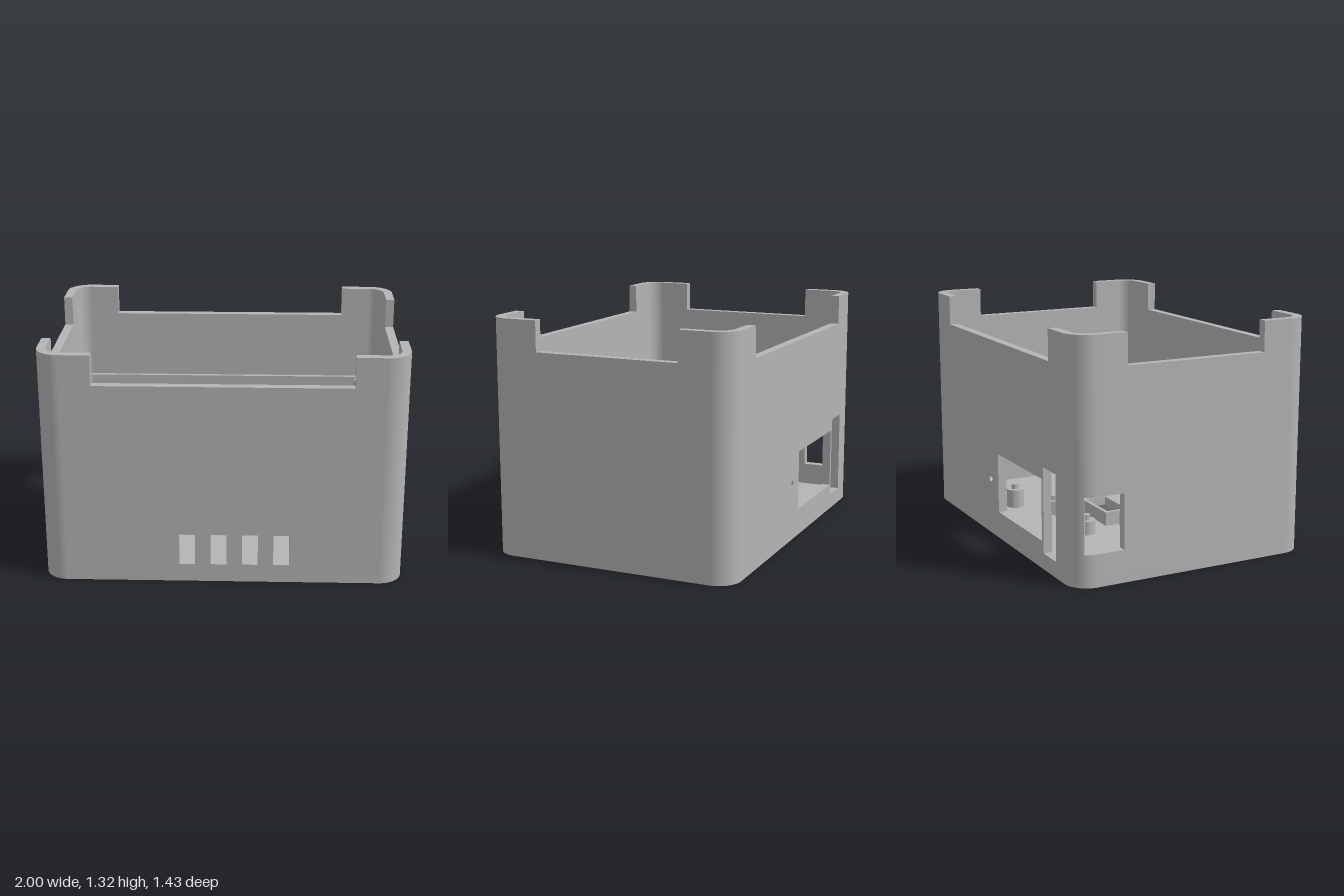
import * as THREE from 'three';
import { toCreasedNormals } from 'three/addons/utils/BufferGeometryUtils.js';

const HX = 1, HZ = 0.715, R = 0.13, WALL = 0.05, FLOOR = 0.05, LOW = 1.15, TOP = 1.32;
const CX = HX - R, CZ = HZ - R; // corner centres

const grey = new THREE.MeshStandardMaterial({ color: 0xb4b4b4 });
grey.name = 'grey plastic';

const poly = (pts) => new THREE.Shape(pts.map(([x, y]) => new THREE.Vector2(x, y)));
const rect = (x0, x1, y0, y1) => poly([[x0, y0], [x1, y0], [x1, y1], [x0, y1]]);

function circle(x, y, r) {
  const s = new THREE.Shape();
  s.absarc(x, y, r, 0, Math.PI * 2, false);
  return s;
}

function roundedRect(hx, hy, r) {
  const s = new THREE.Shape();
  s.absarc(hx - r, hy - r, r, 0, Math.PI / 2, false);
  s.absarc(r - hx, hy - r, r, Math.PI / 2, Math.PI, false);
  s.absarc(r - hx, r - hy, r, Math.PI, Math.PI * 1.5, false);
  s.absarc(hx - r, r - hy, r, Math.PI * 1.5, Math.PI * 2, false);
  s.closePath();
  return s;
}

function withHoles(shape, holes) {
  shape.holes.push(...holes);
  return shape;
}

function extrude(shape, depth) {
  return new THREE.ExtrudeGeometry(shape, { depth, bevelEnabled: false, curveSegments: 16 });
}

// Plan shape (x, -z) raised from y0 to y1
function raise(shape, y0, y1) {
  return extrude(shape, y1 - y0).rotateX(-Math.PI / 2).translate(0, y0, 0);
}

// Side shape (-z, y) extruded along +x from x0
function sideways(shape, x0, width) {
  return extrude(shape, width).rotateY(Math.PI / 2).translate(x0, 0, 0);
}

// Quarter ring about a corner centre
function arcBand(x, y, a0, a1) {
  const s = new THREE.Shape();
  s.absarc(x, y, R, a0, a1, false);
  s.absarc(x, y, R - WALL, a1, a0, true);
  s.closePath();
  return s;
}

// Rectangular sections (half x, half z, y) joined in order
function rectLoft(rows) {
  const pos = [];
  const corner = ([hx, hz, y], i) => [[hx, y, hz], [hx, y, -hz], [-hx, y, -hz], [-hx, y, hz]][i % 4];
  for (let k = 0; k < rows.length - 1; k++) {
    for (let i = 0; i < 4; i++) {
      const a = corner(rows[k], i), b = corner(rows[k], i + 1);
      const c = corner(rows[k + 1], i + 1), d = corner(rows[k + 1], i);
      pos.push(...a, ...c, ...b, ...a, ...d, ...c);
    }
  }
  const g = new THREE.BufferGeometry();
  g.setAttribute('position', new THREE.Float32BufferAttribute(pos, 3));
  g.computeVertexNormals();
  return g;
}

export function createModel() {
  const model = new THREE.Group();
  model.name = 'openEnclosure';
  const add = (name, geometry) => {
    const mesh = new THREE.Mesh(toCreasedNormals(geometry, 0.5), grey);
    mesh.name = name;
    model.add(mesh);
    return mesh;
  };

  // Floor with a flared opening and raised frame
  const ox = -0.075, oz = -0.053;
  add('floor', raise(withHoles(roundedRect(HX, HZ, R),
    [rect(ox - 0.19, ox + 0.19, -oz - 0.12, -oz + 0.12)]), 0, FLOOR));
  add('floorOpeningFrame', rectLoft([
    [0.19, 0.12, 0], [0.135, 0.0625, 0.08], [0.135, 0.0625, 0.13],
    [0.16, 0.085, 0.13], [0.16, 0.085, FLOOR], [0.19, 0.12, FLOOR],
  ]).translate(ox, 0, oz));

  // Straight walls with a lowered middle
  const wallOutline = (half, notch) => [
    [-half, FLOOR], [half, FLOOR], [half, TOP], [notch, TOP],
    [notch, LOW], [-notch, LOW], [-notch, TOP], [-half, TOP],
  ];
  const slots = [-0.198, -0.024, 0.15, 0.324].map((x) => rect(x - 0.044, x + 0.044, 0.105, 0.285));
  add('frontWall', extrude(withHoles(poly(wallOutline(CX, 0.7)), slots), WALL)
    .translate(0, 0, HZ - WALL));
  const backHoles = [rect(-0.6, -0.01, 0.155, 0.5), rect(-0.775, -0.62, 0.09, 0.568), circle(0.1, 0.332, 0.02)];
  add('backWall', extrude(withHoles(poly(wallOutline(CX, 0.7)), backHoles), WALL)
    .translate(0, 0, -HZ));
  add('leftWall', sideways(poly(wallOutline(CZ, 0.413)), HX - WALL, WALL));
  const windowLow = 0.18, windowHigh = 0.485;
  const rightOutline = wallOutline(CZ, 0.413);
  rightOutline.splice(2, 0, [CZ, windowLow], [0.43, windowLow], [0.43, windowHigh], [CZ, windowHigh]);
  add('rightWall', sideways(poly(rightOutline), -HX, WALL));

  // Rounded corners; the right window cuts into the back right one
  const q = Math.PI / 2;
  [[1, 1, 0], [-1, -1, 2], [1, -1, 3]].forEach(([sx, sy, k]) => {
    add('cornerWall', raise(arcBand(sx * CX, sy * CZ, k * q, (k + 1) * q), FLOOR, TOP));
  });
  add('cornerWall', raise(arcBand(-CX, CZ, q, 2 * q), FLOOR, windowLow));
  add('cornerWall', raise(arcBand(-CX, CZ, q, q + 1.01), windowLow, windowHigh));
  add('cornerWall', raise(arcBand(-CX, CZ, q, 2 * q), windowHigh, TOP));

  // Inner ledge and the two corner screw posts
  add('innerLedge', raise(withHoles(roundedRect(HX - WALL, HZ - WALL, R - WALL),
    [roundedRect(HX - 0.075, HZ - 0.075, R - 0.075)]), 0.72, 0.75));
  for (const s of [-1, 1]) {
    add('cornerScrewPost', raise(withHoles(circle(s * CX, s * CZ, 0.083),
      [circle(s * CX, s * CZ, 0.03)]), FLOOR, 0.75));
  }

  // Circuit board standoffs with locating pins
  const standoffs = [
    [-0.295, -0.295, 0.13], [0.145, -0.295, 0.13], [-0.295, -0.02, 0.13], [0.145, -0.02, 0.13],
    [0.385, -0.44, 0.16], [0.385, 0.005, 0.16],
  ];
  for (const [x, z, top] of standoffs) {
    add('standoff', new THREE.CylinderGeometry(0.052, 0.052, top - FLOOR, 32)
      .translate(x, (top + FLOOR) / 2, z));
    add('standoffPin', new THREE.CylinderGeometry(0.022, 0.022, 0.03, 20)
      .translate(x, top + 0.015, z));
  }

  // Curved cradles and their end stops
  const zc = 0.3675, r = 0.2275, cradleTop = 0.475;
  for (const x of [-0.565, 0.652]) {
    const s = poly([[-0.665, FLOOR], [-0.095, FLOOR], [-0.095, cradleTop], [r - zc, cradleTop]]);
    s.absarc(-zc, cradleTop, r, 0, -Math.PI, true);
    s.lineTo(-0.665, cradleTop);
    add('cradle', sideways(s, x, 0.127));
  }
  for (const x of [-0.845, 0.84]) {
    add('endStop', new THREE.BoxGeometry(0.03, 0.3, 0.17).translate(x, 0.2, 0.365));
  }

  // Mounting pads beside the back windows
  for (const [x, y] of [[-0.815, 0.52], [0.18, 0.12]]) {
    add('mountPad', new THREE.CylinderGeometry(0.047, 0.047, 0.035, 28)
      .rotateX(Math.PI / 2).translate(x, y, -0.65));
    add('mountPin', new THREE.CylinderGeometry(0.02, 0.02, 0.03, 20)
      .rotateX(Math.PI / 2).translate(x, y, -0.62));
  }

  return model;
}
